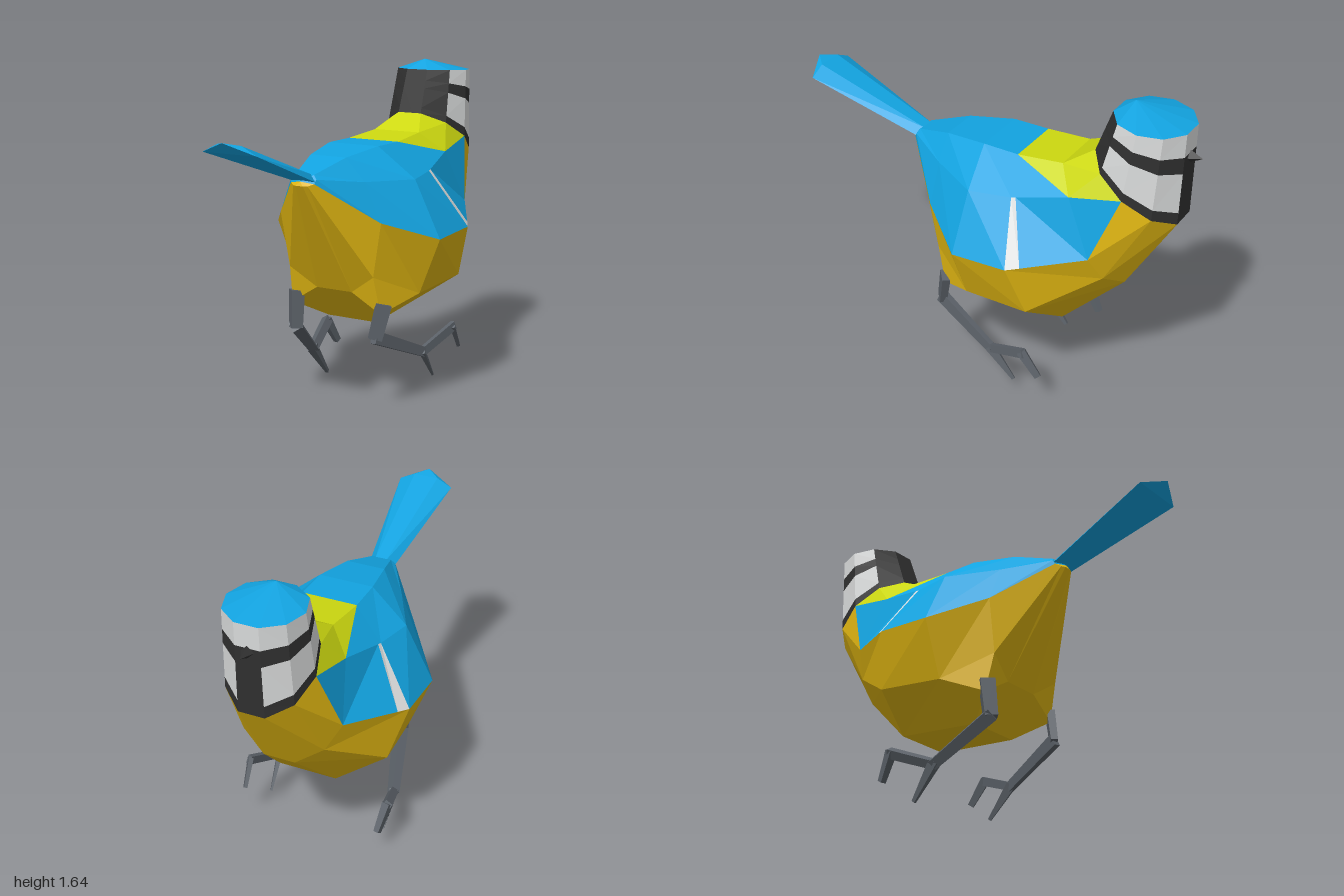
import * as THREE from 'three';
import { ConvexGeometry } from 'three/addons/geometries/ConvexGeometry.js';

const mat = (name, color) => {
  const m = new THREE.MeshStandardMaterial({ color, flatShading: true });
  m.name = name;
  return m;
};
const V = (x, y, z) => new THREE.Vector3(x, y, z);

export function createModel() {
  const model = new THREE.Group();
  const paint = {
    B: mat('wing blue', 0x12a3e0), Y: mat('belly gold', 0xe0b612), L: mat('nape yellow', 0xccd810),
    K: mat('mask black', 0x303030), W: mat('cheek white', 0xdadcdc), G: mat('leg grey', 0x5b6168),
  };
  const bird = new THREE.Group(); // yawed so the bird's axis runs diagonally
  bird.name = 'bird';
  bird.position.x = 0.03;
  bird.rotation.y = 0.342;
  model.add(bird);

  const addMesh = (parent, name, geometry, colour) => {
    const mesh = new THREE.Mesh(geometry, paint[colour]);
    mesh.name = name;
    parent.add(mesh);
    return mesh;
  };

  // Faces are gathered per part and colour, each with its mirror image
  const buckets = {};
  const tri = (part, colour, a, b, c) => {
    const area = b.clone().sub(a).cross(c.clone().sub(a)).length();
    if (area < 1e-6) return;
    const list = ((buckets[part] ??= {})[colour] ??= []);
    for (const p of [a, b, c]) list.push(p.x, p.y, p.z);
    for (const p of [a, c, b]) list.push(-p.x, p.y, p.z);
  };

  // Half rings from back to breast: top, shoulder, wing edge, flank, keel
  const half = (...p) => {
    const v = p.map((q) => V(...q));
    return [V(0, v[0].y, v[0].z), ...v, V(0, v[4].y, v[4].z)];
  };
  const point = (x, y, z) => Array.from({ length: 7 }, () => V(x, y, z));
  const oval = (rx, rz, y, dy, z) => half(...[18, 54, 90, 126, 162].map((d) => {
    const a = THREE.MathUtils.degToRad(d);
    return [rx * Math.sin(a), y + dy * Math.cos(a), z + rz * Math.cos(a)];
  }));
  // Two letters in a cell colour the two triangles of that quad
  const loft = (part, from, to, colours) => colours.split(' ').forEach((k, j) => {
    if (k === '-') return;
    const [a, b, c, d] = [from[j], from[j + 1], to[j + 1], to[j]];
    tri(part, k[0], a, b, c);
    tri(part, k[1] ?? k[0], a, c, d);
  });

  const rumpTip = point(0, 1.16, 0.46);
  const rump = half([0.05, 1.19, 0.42], [0.07, 1.17, 0.43], [0.065, 1.15, 0.44], [0.04, 1.14, 0.46], [0.02, 1.14, 0.47]);
  const hip = half([0.1, 1.25, 0.22], [0.2, 1.14, 0.21], [0.287, 0.95, 0.208], [0.24, 0.68, 0.2], [0.1, 0.585, 0.17]);
  const waist = half([0.14, 1.28, -0.01], [0.33, 1.13, -0.04], [0.472, 0.85, -0.035], [0.36, 0.57, -0.04], [0.14, 0.4, 0]);
  const chest = half([0.142, 1.28, -0.197], [0.29, 1.14, -0.25], [0.472, 0.865, -0.325], [0.39, 0.6, -0.39], [0.15, 0.445, -0.46]);
  const neck = half([0.13, 1.3, -0.43], [0.235, 1.2, -0.52], [0.282, 0.93, -0.655], [0.21, 0.8, -0.7], [0.08, 0.72, -0.75]);
  const headBase = oval(0.212, 0.225, 1.25, 0.137, -0.775);
  const headTop = oval(0.192, 0.19, 1.592, 0.008, -0.82);

  // Body
  loft('body', rumpTip, rump, 'B B B Y Y Y');
  loft('body', rump, hip, 'B B B Y Y Y');
  loft('body', hip, waist, 'B B B Y - Y');
  loft('body', waist, chest, 'B B B Y Y Y');
  loft('body', chest, neck, 'L BL - Y Y Y');
  loft('body', neck, headBase, 'L L BL Y Y Y');

  // Thighs swell down to the leg roots
  const thigh = V(0.255, 0.49, 0.155);
  const rim = [hip[4], hip[5], waist[5], waist[4]];
  rim.forEach((p, i) => tri('thigh', 'Y', p, rim[(i + 1) % 4], thigh));

  // Wing panel with a pale bar along its rear edge
  const barTop = chest[2].clone().lerp(neck[2], 0.08);
  const barEnd = chest[3].clone().lerp(neck[3], 0.18);
  tri('wingBar', 'W', chest[2], chest[3], barEnd);
  tri('wingBar', 'W', chest[2], barEnd, barTop);
  tri('wingPanel', 'B', barTop, barEnd, neck[3]);
  tri('wingPanel', 'B', barTop, neck[3], neck[2]);

  // Head in bands: collar, cheeks, eye stripe, brow, cap
  const level = (t) => headBase.map((p, i) => p.clone().lerp(headTop[i], t));
  const bands = [
    [0, 0.13, 'K K K K K K'], [0.13, 0.57, 'K K W W W K'],
    [0.57, 0.75, 'K K K K K K'], [0.75, 1, 'K K W W W W'],
  ];
  for (const [t0, t1, colours] of bands) loft('head', level(t0), level(t1), colours);
  loft('cap', headTop, point(0, 1.65, -0.72), 'B B B B B B');

  for (const part in buckets) {
    for (const colour in buckets[part]) {
      const g = new THREE.BufferGeometry();
      g.setAttribute('position', new THREE.Float32BufferAttribute(buckets[part][colour], 3));
      g.computeVertexNormals();
      addMesh(bird, `${part} ${paint[colour].name}`, g, colour);
    }
  }

  // Beak and tail
  const mirrored = (points) => points.flatMap(([x, y, z]) => [V(x, y, z), V(-x, y, z)]);
  addMesh(bird, 'beak', new ConvexGeometry([
    ...mirrored([[0.045, 1.45, -0.97]]), V(0, 1.495, -0.97), V(0, 1.405, -0.97), V(0, 1.45, -1.06),
  ]), 'K');
  addMesh(bird, 'tail', new ConvexGeometry([
    ...mirrored([[0.065, 1.15, 0.41], [0.03, 1.19, 0.41], [0.145, 1.355, 1.0], [0.065, 1.395, 1.0]]),
    V(0.005, 1.41, 1.06),
  ]), 'B');

  // Legs: tapered square rods from joint to joint
  const rods = (parent, name, points, radii, flat) => {
    for (let i = 0; i + 1 < points.length; i++) {
      const a = V(...points[i]);
      const b = V(...points[i + 1]);
      const dir = b.clone().sub(a);
      const len = dir.length();
      const g = new THREE.CylinderGeometry(radii[i + 1], radii[i], len + 0.02, 4);
      g.rotateY(Math.PI / 4).scale(flat, 1, 1);
      const rod = addMesh(parent, `${name}${i + 1}`, g, 'G');
      rod.position.copy(a).add(b).multiplyScalar(0.5);
      rod.quaternion.setFromUnitVectors(V(0, 1, 0), dir.normalize());
    }
  };
  const leg = (name, shank, toe, flat) => {
    const group = new THREE.Group();
    group.name = name;
    rods(group, 'shank', shank, [0.052, 0.045, 0.034, 0.012], flat);
    rods(group, 'toe', [shank[2], ...toe], [0.03, 0.032, 0.022], flat);
    model.add(group);
  };
  leg('leftLeg',
    [[0.33, 0.53, 0.05], [0.32, 0.38, 0.09], [0.28, 0.24, -0.25], [0.23, 0.095, -0.36]],
    [[0.26, 0.33, -0.47], [0.225, 0.22, -0.54]], 0.55);
  leg('rightLeg',
    [[-0.14, 0.54, 0.22], [-0.13, 0.37, 0.235], [-0.3, 0.17, 0], [-0.335, 0.02, -0.115]],
    [[-0.43, 0.26, -0.19], [-0.435, 0.145, -0.26]], 0.9);

  return model;
}
